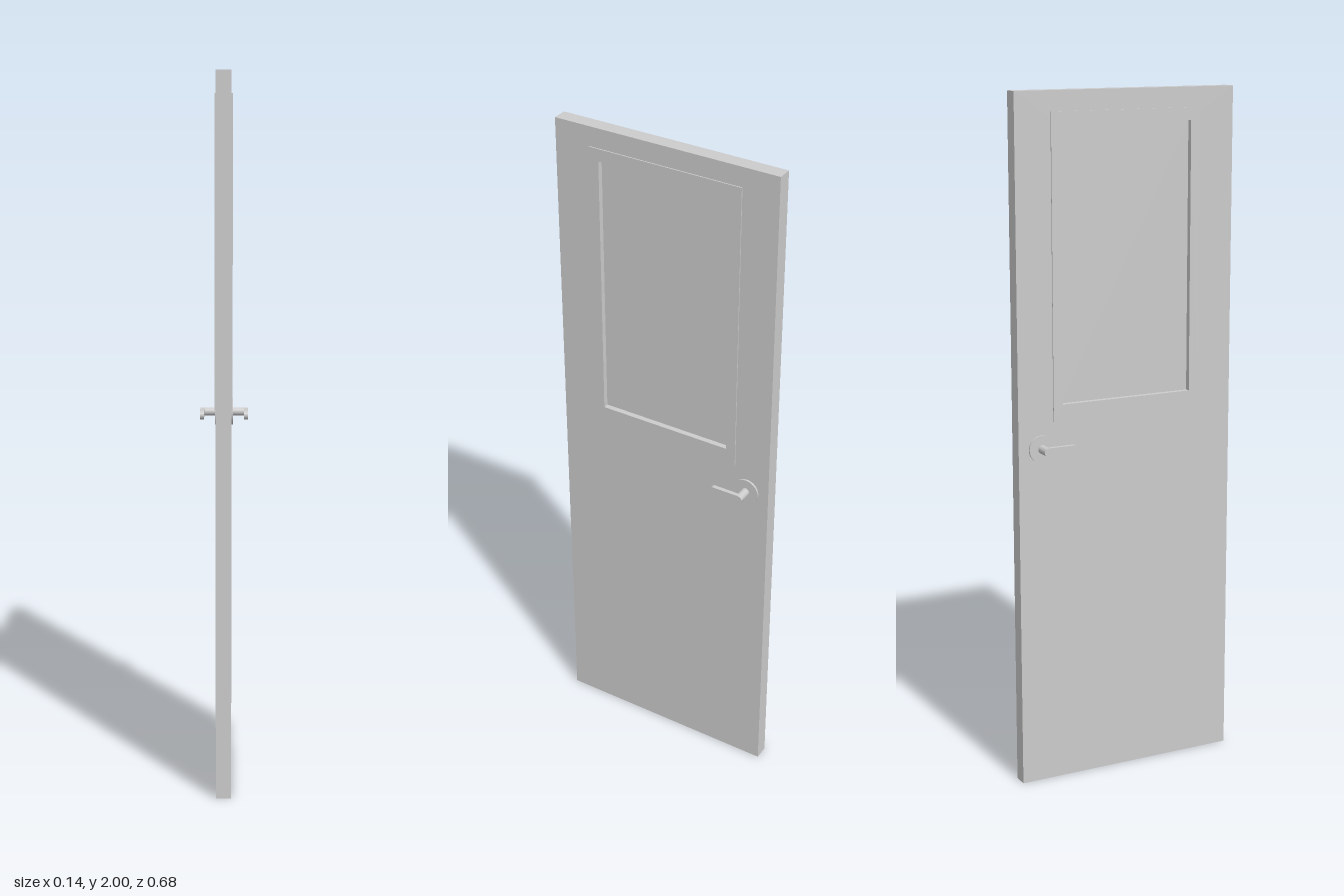
import * as THREE from 'three';

const mat = new THREE.MeshStandardMaterial({ color: 0xcccccc });

// Rectangle outline in (z, y), as a Shape or a hole Path
function rect(path, z, y0, y1) {
  path.moveTo(-z, y0);
  path.lineTo(z, y0);
  path.lineTo(z, y1);
  path.lineTo(-z, y1);
  path.closePath();
  return path;
}

// Extrude a (z, y) shape so that it runs from x0 to x1
function plate(name, shape, x0, x1) {
  const geo = new THREE.ExtrudeGeometry(shape, { depth: x1 - x0, bevelEnabled: false, curveSegments: 16 });
  geo.rotateY(-Math.PI / 2); // shape x -> +z, depth -> -x
  geo.translate(x1, 0, 0);
  const mesh = new THREE.Mesh(geo, mat);
  mesh.name = name;
  return mesh;
}

// Cylinder lying along x
function rod(name, radius, x0, x1, y, z) {
  const geo = new THREE.CylinderGeometry(radius, radius, x1 - x0, 40);
  geo.rotateZ(Math.PI / 2);
  const mesh = new THREE.Mesh(geo, mat);
  mesh.position.set((x0 + x1) / 2, y, z);
  mesh.name = name;
  return mesh;
}

export function createModel() {
  const door = new THREE.Group();
  door.name = 'door';

  const half = 0.0215;                        // half the leaf thickness
  const opening = [0.203, 1.128, 1.907];      // window opening: half width, bottom, top
  const handleY = 1.006, handleZ = -0.27;

  // Leaf with window opening
  const leaf = rect(new THREE.Shape(), 0.34, 0, 2);
  leaf.holes.push(rect(new THREE.Path(), ...opening));
  door.add(plate('leaf', leaf, -half, half));

  // Recessed window pane
  door.add(plate('windowPane', rect(new THREE.Shape(), ...opening), -0.009, 0.009));

  for (const side of [1, -1]) {
    const span = (a, b) => (side > 0 ? [a, b] : [-b, -a]);

    // Thin trim around the window
    const trim = rect(new THREE.Shape(), 0.232, 1.08, 1.943);
    trim.holes.push(rect(new THREE.Path(), ...opening));
    door.add(plate('windowTrim', trim, ...span(half, 0.025)));

    // Handle: rose, spindle and round-ended lever
    const handle = new THREE.Group();
    handle.name = side > 0 ? 'leftHandle' : 'rightHandle';
    handle.add(rod('rose', 0.039, ...span(half, 0.0275), handleY, handleZ));
    handle.add(rod('spindle', 0.0125, ...span(half, 0.066), handleY, handleZ));

    const r = 0.0125;
    const lever = new THREE.Shape();
    lever.absarc(-0.178 - r, handleY, r, -Math.PI / 2, Math.PI / 2, false);
    lever.absarc(handleZ, handleY, r, Math.PI / 2, Math.PI * 1.5, false);
    lever.closePath();
    handle.add(plate('lever', lever, ...span(0.06, 0.072)));
    door.add(handle);
  }
  return door;
}
